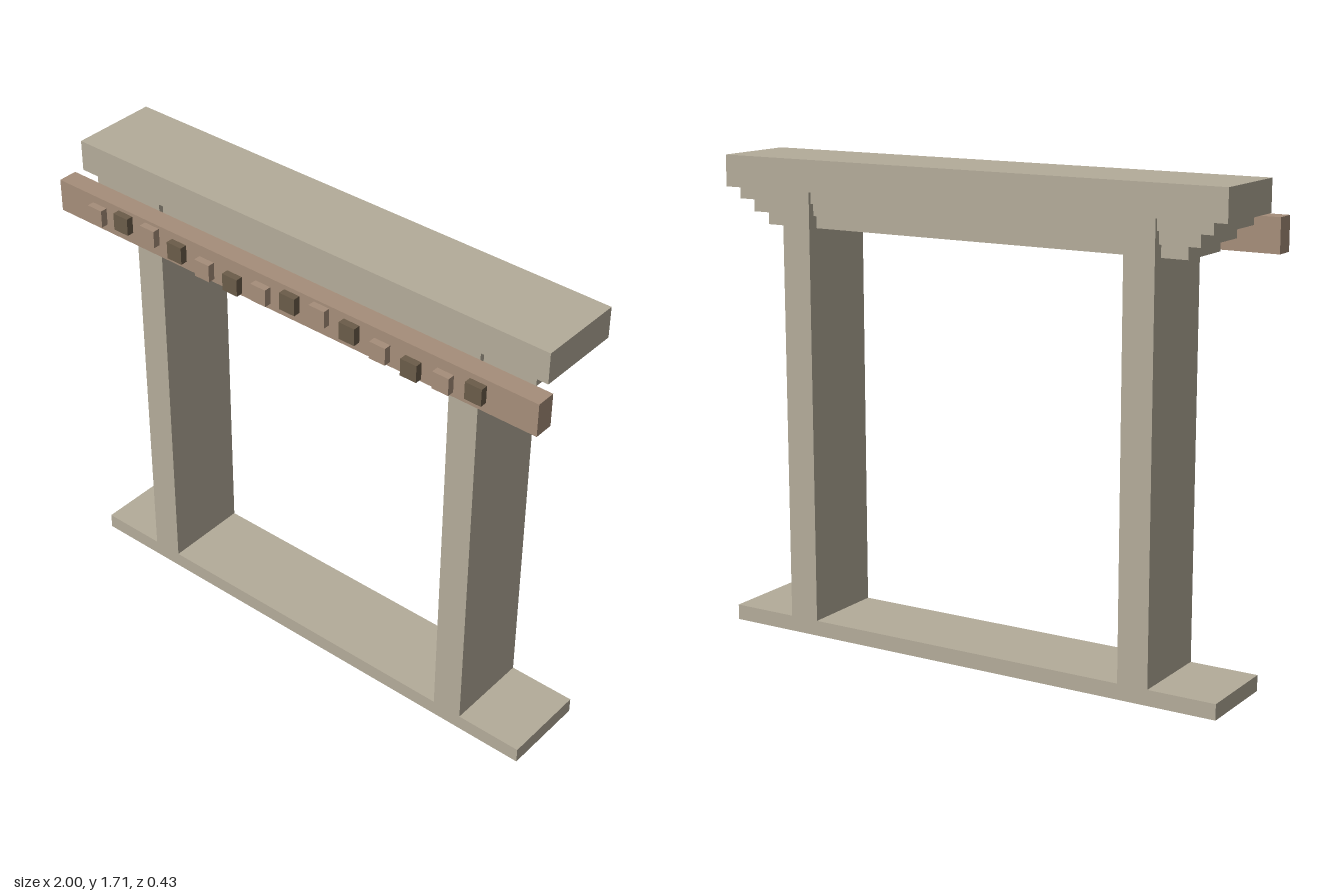
import * as THREE from 'three';

const stone = new THREE.MeshStandardMaterial({ color: 0xb4ac9a });
const wood = new THREE.MeshStandardMaterial({ color: 0xa68e7a });
const darkWood = new THREE.MeshStandardMaterial({ color: 0x6b5c49 });

// Box given by its limits on each axis
function block(name, material, [x0, x1], [y0, y1], [z0, z1]) {
  const mesh = new THREE.Mesh(new THREE.BoxGeometry(x1 - x0, y1 - y0, z1 - z0), material);
  mesh.position.set((x0 + x1) / 2, (y0 + y1) / 2, (z0 + z1) / 2);
  mesh.name = name;
  return mesh;
}

export function createModel() {
  const model = new THREE.Group();
  model.name = 'gateway';
  const depth = [-0.214, 0.104];

  // Base, pillars and top slab share one depth
  model.add(block('base', stone, [-0.972, 0.972], [0, 0.056], depth));
  model.add(block('topSlab', stone, [-0.972, 0.972], [1.6, 1.712], depth));
  model.add(block('leftPillar', stone, [0.613, 0.725], [0.056, 1.6], depth));
  model.add(block('rightPillar', stone, [-0.725, -0.613], [0.056, 1.6], depth));

  // Stepped courses shrinking downwards under the slab
  const courses = new THREE.Group();
  courses.name = 'steppedCourses';
  [
    [0.92, 1.56, 1.6, -0.203, 0.087],
    [0.87, 1.516, 1.56, -0.189, 0.072],
    [0.82, 1.472, 1.516, -0.172, 0.058],
  ].forEach(([half, y0, y1, z0, z1], i) =>
    courses.add(block(`course${i + 1}`, stone, [-half, half], [y0, y1], [z0, z1])));
  model.add(courses);

  // Beam standing free in front of the slab
  model.add(block('frontBeam', wood, [-1, 1], [1.468, 1.587], [0.117, 0.188]));

  // Studs in alternating shades along a wave
  const studs = new THREE.Group();
  studs.name = 'beamStuds';
  const r = 0.0315;
  for (let i = 0; i < 14; i++) {
    const x = -0.812 + i * 0.1225;
    const y = 1.527 + 0.019 * Math.sin(i);
    studs.add(block(`stud${i + 1}`, i % 2 ? darkWood : wood, [x - r, x + r], [y - r, y + r], [0.17, 0.214]));
  }
  model.add(studs);

  return model;
}
